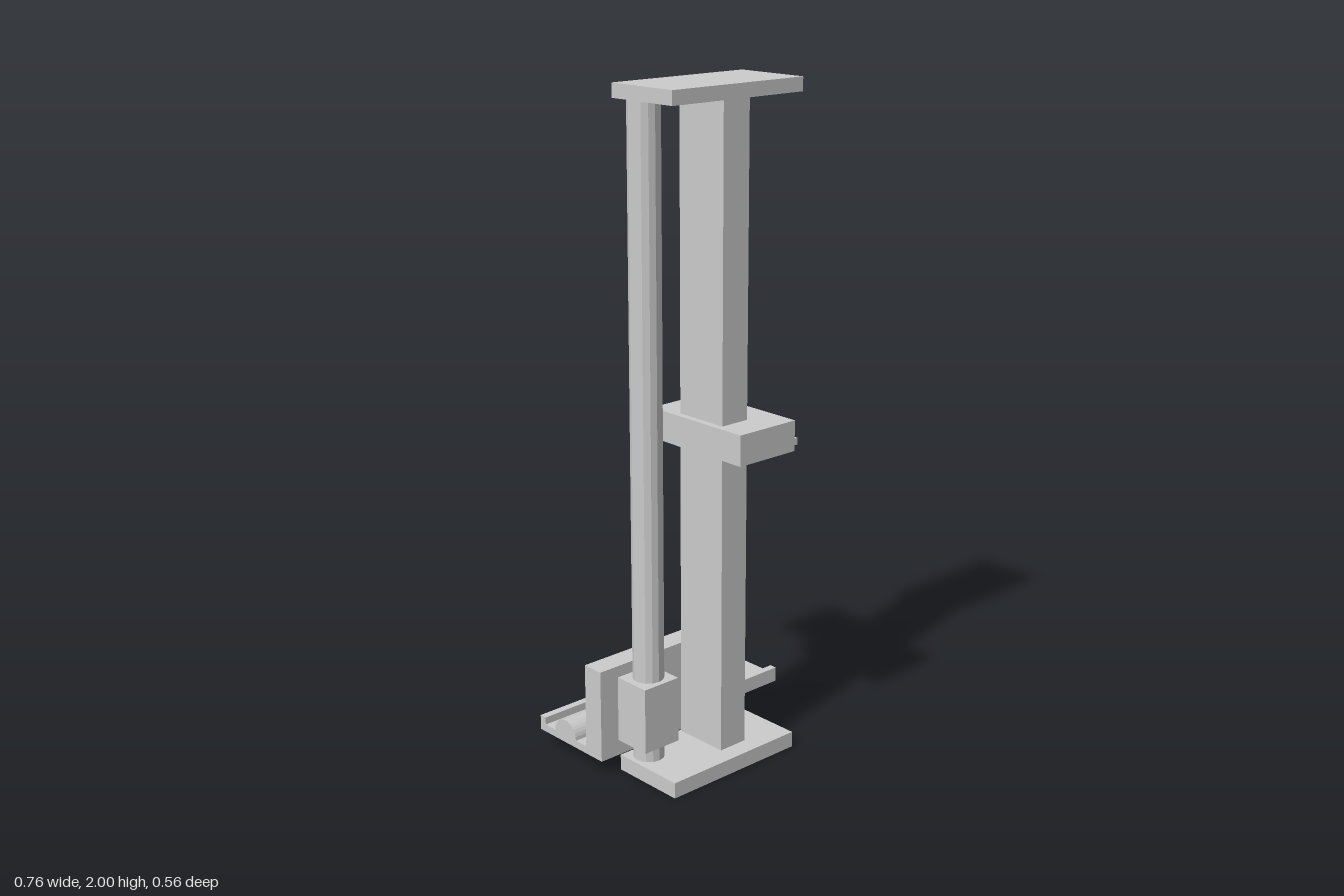
import * as THREE from 'three';

export function createModel() {
  const model = new THREE.Group();
  const material = new THREE.MeshStandardMaterial({ color: 0xcccccc, flatShading: true });

  const add = (name, geometry) => {
    const mesh = new THREE.Mesh(geometry, material);
    mesh.name = name;
    model.add(mesh);
    return mesh;
  };

  // Box given by its extents on each axis
  const box = (name, [x0, x1], [y0, y1], [z0, z1]) =>
    add(name, new THREE.BoxGeometry(x1 - x0, y1 - y0, z1 - z0))
      .position.set((x0 + x1) / 2, (y0 + y1) / 2, (z0 + z1) / 2);

  // Upright rod
  const rod = (name, x, z, r, y0, y1) =>
    add(name, new THREE.CylinderGeometry(r, r, y1 - y0, 14))
      .position.set(x, (y0 + y1) / 2, z);

  // Extrude a (z, y) cross-section along x
  const extrudeX = (name, shape, x0, x1) => {
    const g = new THREE.ExtrudeGeometry(shape, { depth: x1 - x0, bevelEnabled: false, curveSegments: 7 });
    g.rotateY(-Math.PI / 2); // shape x -> z, depth -> -x
    g.translate(x1, 0, 0);
    add(name, g);
  };

  // Frame: end plates, column and lead rod
  box('basePlate', [-0.31, 0.165], [0, 0.048], [0.005, 0.243]);
  box('topPlate', [-0.31, 0.165], [1.96, 2], [0.005, 0.243]);
  box('column', [-0.075, 0.021], [0.048, 1.96], [0.01, 0.185]);
  rod('leadRod', -0.25, 0.063, 0.046, 0.048, 1.96);
  box('driveBlock', [-0.317, -0.19], [0.098, 0.298], [0.003, 0.125]);

  // Carriage with its pivot pin and swinging shelf
  box('carriage', [-0.096, 0.117], [0.957, 1.048], [-0.09, 0.28]);
  rod('shelfPin', 0.068, 0.098, 0.024, 0.93, 0.96);
  box('shelf', [0.035, 0.273], [0.91, 0.931], [-0.263, 0.14]);

  // Upright back wall
  box('backWall', [-0.382, 0.139], [0.05, 0.333], [-0.065, 0.005]);

  // Channel-shaped rail
  const channel = new THREE.Shape([
    [-0.282, 0.05], [-0.043, 0.05], [-0.043, 0.096], [-0.066, 0.096],
    [-0.066, 0.073], [-0.258, 0.073], [-0.258, 0.096], [-0.282, 0.096],
  ].map(([z, y]) => new THREE.Vector2(z, y)));
  extrudeX('rail', channel, -0.382, 0.38);

  // Sliding plate and half-round bar lying in the rail
  box('sliderPlate', [-0.12, 0.139], [0.073, 0.122], [-0.257, -0.066]);
  const halfRound = new THREE.Shape();
  halfRound.absarc(-0.163, 0.073, 0.049, 0, Math.PI, false);
  halfRound.closePath();
  extrudeX('halfRoundBar', halfRound, -0.382, -0.12);

  return model;
}
